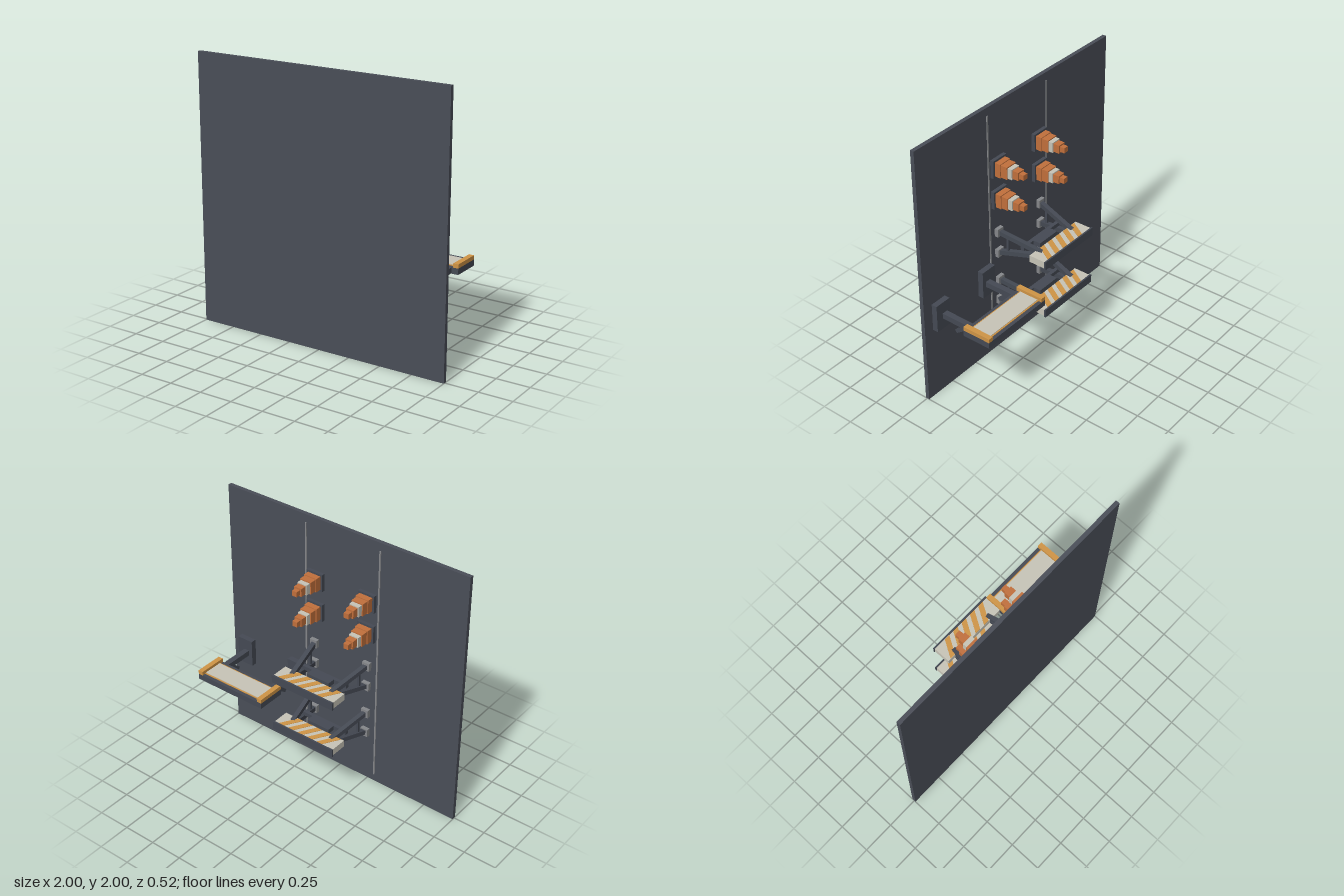
import * as THREE from 'three';

const mat = (name, color) => Object.assign(new THREE.MeshStandardMaterial({ color }), { name });

export function createModel() {
  const asphalt = mat('asphalt', 0x4a4e58);
  const darkMetal = mat('darkMetal', 0x454a54);
  const grey = mat('grey', 0x85878a);
  const coneOrange = mat('coneOrange', 0xc2703c);
  const amber = mat('amber', 0xd09546);
  const white = mat('white', 0xc8c5b8);

  const root = new THREE.Group();
  root.name = 'roadworks';

  const group = (name, x = 0, y = 0, z = 0) => {
    const g = new THREE.Group();
    g.name = name;
    g.position.set(x, y, z);
    root.add(g);
    return g;
  };

  // Box from its lowest and highest corner
  const box = (parent, name, m, [x0, y0, z0], [x1, y1, z1]) => {
    const mesh = new THREE.Mesh(new THREE.BoxGeometry(x1 - x0, y1 - y0, z1 - z0), m);
    mesh.position.set((x0 + x1) / 2, (y0 + y1) / 2, (z0 + z1) / 2);
    mesh.name = name;
    parent.add(mesh);
    return mesh;
  };

  // Square beam between two points
  const beam = (parent, name, m, a, b, t) => {
    const from = new THREE.Vector3(...a), to = new THREE.Vector3(...b);
    const mesh = new THREE.Mesh(new THREE.BoxGeometry(t, t, from.distanceTo(to)), m);
    mesh.position.copy(from).add(to).multiplyScalar(0.5);
    mesh.lookAt(to);
    mesh.name = name;
    parent.add(mesh);
  };

  // Road slab and its two lane lines
  box(root, 'roadSlab', asphalt, [-1, 0, 0.232], [1, 2, 0.262]);
  for (const x of [-0.31, 0.31]) {
    box(root, 'laneLine', grey, [x - 0.006, 0.06, 0.226], [x + 0.006, 1.94, 0.232]);
  }

  // Stepped cones: half width, z start, z end
  const steps = [
    ['coneBase', darkMetal, 0.068, 0.205, 0.232],
    ['coneFoot', coneOrange, 0.053, 0.16, 0.205],
    ['coneLower', coneOrange, 0.047, 0.108, 0.16],
    ['coneBand', white, 0.039, 0.073, 0.108],
    ['coneUpper', coneOrange, 0.031, 0.025, 0.073],
    ['coneTip', coneOrange, 0.02, -0.012, 0.025],
  ];
  for (const x of [-0.22, 0.22]) for (const y of [1.28, 1.525]) {
    const cone = group('trafficCone', x, y);
    for (const [name, m, h, z0, z1] of steps) box(cone, name, m, [-h, -h, z0], [h, h, z1]);
  }

  // Slanted stripe lying on a board face
  const stripeShape = new THREE.Shape([[-0.06, 0.075], [-0.015, 0.075], [0.06, 0.2], [0.015, 0.2]]
    .map(p => new THREE.Vector2(...p)));
  const stripeGeometry = new THREE.ExtrudeGeometry(stripeShape, { depth: 0.004, bevelEnabled: false });
  stripeGeometry.rotateX(-Math.PI / 2);

  // Striped barricades on splayed A-frames
  for (const y of [0.51, 0.915]) {
    const barricade = group('barricade', 0, y);
    box(barricade, 'board', white, [-0.26, -0.026, -0.205], [0.26, 0.026, -0.072]);
    box(barricade, 'boardCap', darkMetal, [-0.265, -0.031, -0.215], [0.265, 0.031, -0.203]);
    for (let i = -2; i <= 2; i++) {
      const stripe = new THREE.Mesh(stripeGeometry, amber);
      stripe.position.set(i * 0.085 - 0.008, 0.025, 0);
      stripe.name = 'stripe';
      barricade.add(stripe);
    }
    for (const s of [-1, 1]) {
      for (const v of [-1, 1]) {
        beam(barricade, 'leg', darkMetal, [s * 0.17, v * 0.012, -0.11], [s * 0.228, v * 0.083, 0.215], 0.034);
        box(barricade, 'legFoot', grey, [s * 0.23 - 0.03, v * 0.085 - 0.031, 0.203], [s * 0.23 + 0.03, v * 0.085 + 0.031, 0.232]);
      }
      beam(barricade, 'legStrut', darkMetal, [s * 0.215, -0.07, 0.15], [s * 0.215, 0.07, 0.15], 0.018);
    }
    box(barricade, 'crossbar', darkMetal, [-0.2, -0.015, 0.025], [0.2, 0.015, 0.052]);
    box(barricade, 'centreBox', darkMetal, [-0.095, -0.018, -0.035], [0.095, 0.018, 0.03]);
  }

  // Framed sign board
  const sign = group('signBoard');
  box(sign, 'signBody', darkMetal, [0.33, 0.65, -0.262], [0.92, 0.695, -0.043]);
  box(sign, 'signBorder', amber, [0.365, 0.693, -0.236], [0.885, 0.699, -0.069]);
  box(sign, 'signFace', white, [0.365, 0.696, -0.226], [0.885, 0.703, -0.079]);
  for (const x of [0.33, 0.881]) {
    box(sign, 'signEndCap', amber, [x, 0.695, -0.262], [x + 0.039, 0.725, -0.043]);
  }

  // Sign posts, feet and braces
  for (const [post, foot] of [[0.4, 0.387], [0.847, 0.86]]) {
    box(sign, 'signPost', darkMetal, [post - 0.022, 0.652, -0.05], [post + 0.022, 0.694, 0.19]);
    box(sign, 'signFoot', darkMetal, [foot - 0.065, 0.57, 0.185], [foot + 0.065, 0.782, 0.228]);
    beam(sign, 'signBrace', darkMetal, [post, 0.665, -0.025], [post, 0.588, 0.08], 0.026);
  }

  return root;
}
